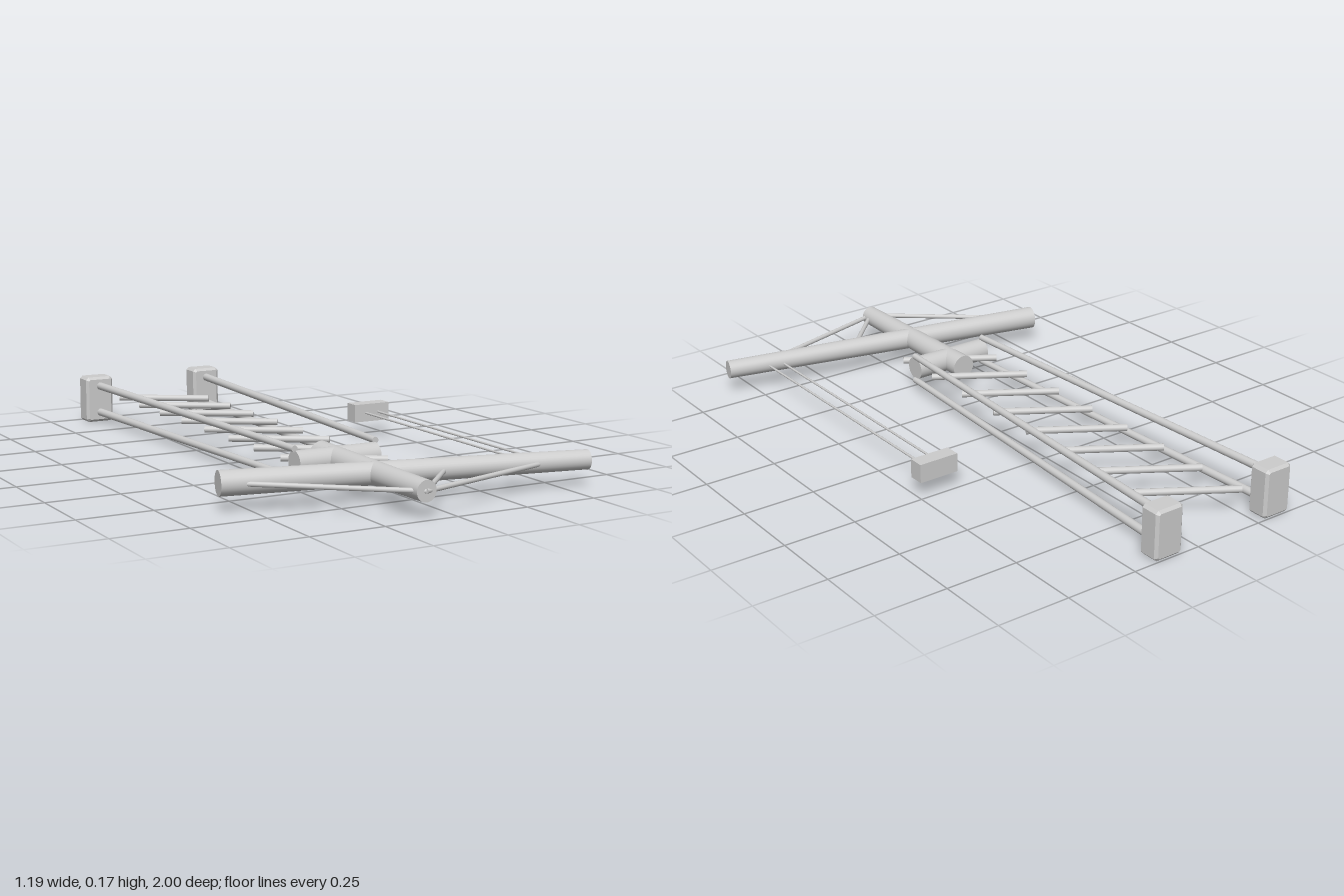
import * as THREE from 'three';

const MID = 0.086; // height of the centre plane

export function createModel() {
  const model = new THREE.Group();
  model.name = 'layingPole';
  const grey = new THREE.MeshStandardMaterial({ color: 0xcccccc });
  grey.name = 'lightGrey';

  const add = (name, geometry) => {
    const mesh = new THREE.Mesh(geometry, grey);
    mesh.name = name;
    model.add(mesh);
    return mesh;
  };

  // Round bar between two points, optionally tapered
  const bar = (name, a, b, ra, rb = ra, sides = 12) => {
    const p = new THREE.Vector3(...a), q = new THREE.Vector3(...b);
    const dir = q.clone().sub(p);
    const mesh = add(name, new THREE.CylinderGeometry(rb, ra, dir.length(), sides));
    mesh.position.copy(p).add(q).multiplyScalar(0.5);
    mesh.quaternion.setFromUnitVectors(new THREE.Vector3(0, 1, 0), dir.normalize());
  };

  // Block with chamfered edges
  const chamferedBlock = (w, h, d, c) => {
    const x = w / 2 - c, y = h / 2 - c, k = c * 0.5;
    const shape = new THREE.Shape([
      [-x + k, -y], [x - k, -y], [x, -y + k], [x, y - k],
      [x - k, y], [-x + k, y], [-x, y - k], [-x, -y + k],
    ].map(([u, v]) => new THREE.Vector2(u, v)));
    const geometry = new THREE.ExtrudeGeometry(shape, {
      depth: d - 2 * c, bevelEnabled: true, bevelSize: c, bevelThickness: c, bevelSegments: 1,
    });
    return geometry.translate(0, 0, -(d - 2 * c) / 2);
  };

  // Mast and the slanted boom crossing it
  bar('mast', [-0.105, MID, 0.37], [-0.105, MID, 0.992], 0.042, 0.034, 32);
  bar('boom', [-0.59, MID, 0.607], [0.588, MID, 0.852], 0.04, 0.032, 32);
  bar('crossbar', [-0.253, MID, 0.463], [0.042, MID, 0.463], 0.04, 0.04, 32);

  // Paired rails and the feet they stand on
  for (const side of [-1, 1]) {
    const cx = -0.106;
    for (const level of [-1, 1]) {
      bar('rail', [cx + side * 0.223, MID + level * 0.05, -0.94],
        [cx + side * 0.147, MID + level * 0.046, 0.465], 0.014, 0.011, 16);
    }
    add('foot', chamferedBlock(0.106, 0.17, 0.077, 0.009))
      .position.set(cx + side * 0.223, MID - 0.001, -0.9615);
  }

  // Slanted rungs
  for (let i = 0; i < 8; i++) {
    const z = -0.92 + i * 0.184;
    bar('rung', [-0.25, MID, z], [0.037, MID, z + 0.18], 0.012);
  }

  // Stays from the mast tip to the boom
  for (const [x, z] of [[-0.53, 0.645], [0.09, 0.785], [0.41, 0.84]]) {
    bar('stay', [-0.105, MID, 0.99], [x, MID, z], 0.008);
  }

  // Hanging counterweight on two ropes
  for (const x of [0.4, 0.452]) {
    bar('rope', [x, MID, 0.82], [x, MID, -0.21], 0.004, 0.004, 8);
  }
  add('counterweight', new THREE.BoxGeometry(0.142, 0.064, 0.054)).position.set(0.426, MID, -0.216);

  return model;
}
